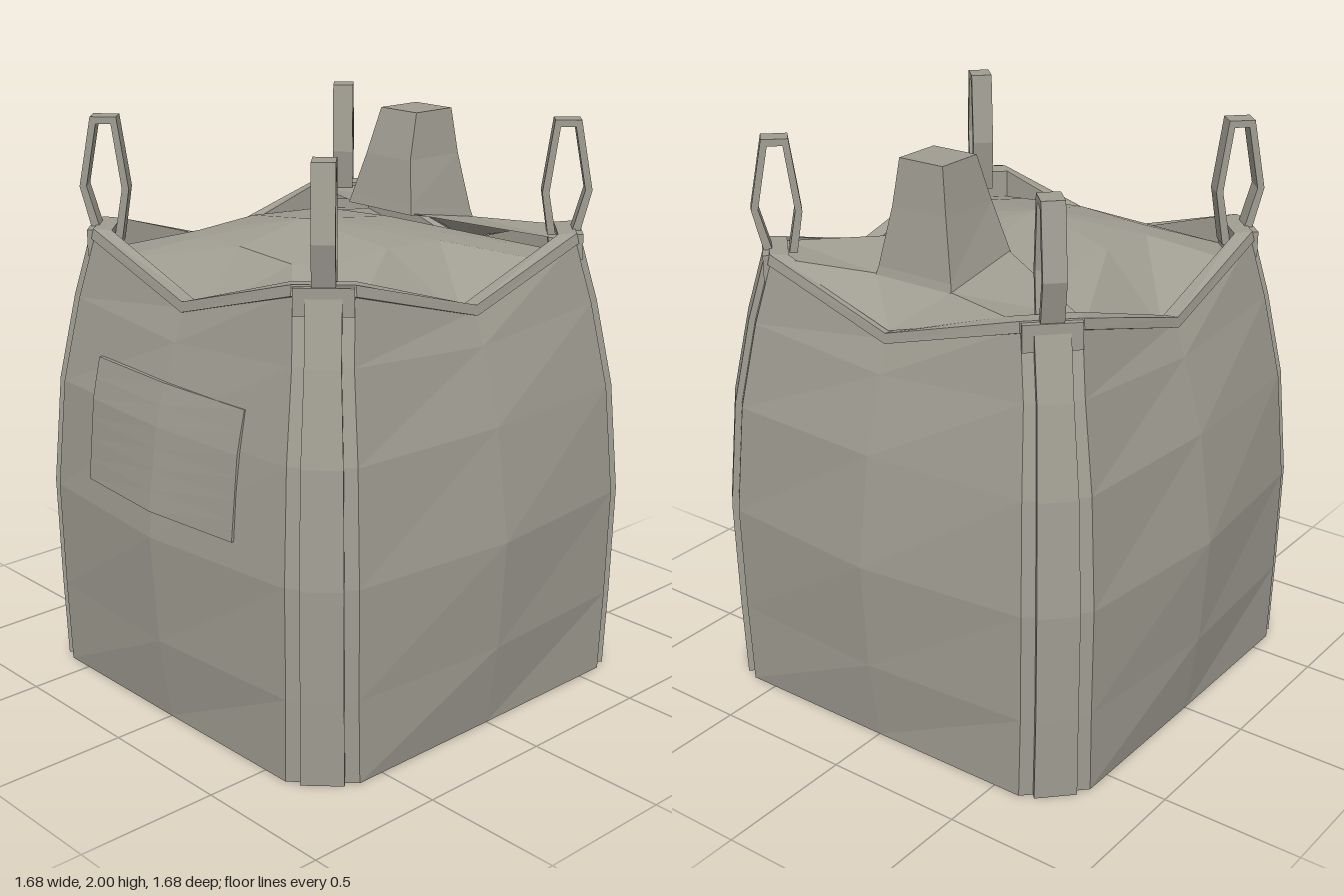
import * as THREE from 'three';

const fabric = new THREE.MeshStandardMaterial({ color: 0xa09d92, side: THREE.DoubleSide });
fabric.name = 'greyFabric';
fabric.flatShading = true;
const underside = new THREE.MeshStandardMaterial({ color: 0x241f1c });
underside.name = 'darkUnderside';

// Body levels: [corner height, mid-side height, mid-side reach, corner reach, corner setback]
const levels = [
  [0, 0, 0.772, 0.77, 0.6],
  [0.3, 0.3, 0.815, 0.775, 0.61],
  [0.69, 0.69, 0.84, 0.78, 0.615],
  [1.08, 1.08, 0.785, 0.75, 0.595],
  [1.38, 1.34, 0.71, 0.695, 0.56],
  [1.6, 1.45, 0.668, 0.65, 0.515],
];

// Eight-cornered ring with an extra point in the middle of each side
function ring([yc, ym, m, w, s], dz = 0) {
  const points = [];
  for (let k = 0; k < 4; k++) {
    const c = Math.round(Math.cos(k * Math.PI / 2)), n = Math.round(Math.sin(k * Math.PI / 2));
    for (const [x, y, z] of [[m, ym, 0], [w, yc, s], [s, yc, w]]) {
      points.push([x * c - z * n, y, x * n + z * c + dz]);
    }
  }
  return points;
}

function fromTriangles(points, index) {
  const g = new THREE.BufferGeometry();
  g.setAttribute('position', new THREE.Float32BufferAttribute(points.flat(), 3));
  g.setIndex(index);
  const flat = g.toNonIndexed();
  flat.computeVertexNormals();
  return flat;
}

// Skin over a list of closed rings
function loft(rings) {
  const n = rings[0].length, index = [];
  for (let r = 0; r < rings.length - 1; r++) {
    for (let j = 0; j < n; j++) {
      const a = r * n + j, b = r * n + (j + 1) % n, c = a + n, d = b + n;
      index.push(a, c, b, b, c, d);
    }
  }
  return fromTriangles(rings.flat(), index);
}

function add(parent, name, geometry, material = fabric) {
  const mesh = new THREE.Mesh(geometry, material);
  mesh.name = name;
  parent.add(mesh);
  return mesh;
}

// Depth of the front wall at a given x and y
function frontDepth(x, y) {
  let i = 0;
  while (i < levels.length - 2 && y > levels[i + 1][1]) i++;
  const t = (y - levels[i][1]) / (levels[i + 1][1] - levels[i][1]);
  const [, , m, w, s] = levels[i].map((v, k) => v + (levels[i + 1][k] - v) * t);
  return m + (w - m) * Math.min(1, Math.abs(x) / s);
}

// Corner webbing, a flat band lying on the bag's chamfered corner
function strapGeometry() {
  return loft(levels.map(([y, , , w, s]) => {
    const at = (t, out) => [w + (s - w) * t + out, y, s + (w - s) * t + out];
    return [at(0.2, 0.016), at(0.8, 0.016), at(0.8, -0.02), at(0.2, -0.02)];
  }));
}

// Six-sided lifting loop, standing in the diagonal plane of the corner
function loopGeometry() {
  const outline = (inset) => [
    [-0.055 + inset, 1.56 + inset], [0.035 - inset, 1.56 + inset], [0.085 - inset, 1.76],
    [0.04 - inset * 0.8, 2 - inset], [-0.05 + inset * 0.8, 2 - inset], [-0.085 + inset, 1.75],
  ].map(([x, y]) => new THREE.Vector2(x, y));
  const shape = new THREE.Shape(outline(0));
  shape.holes.push(new THREE.Path(outline(0.024).reverse()));
  const g = new THREE.ExtrudeGeometry(shape, { depth: 0.075, bevelEnabled: false });
  return g.translate(0, 0, -0.0375);
}

export function createModel() {
  const model = new THREE.Group();
  model.name = 'bulkBag';

  // Bulging bag walls
  add(model, 'bagWalls', loft(levels.map((l) => ring(l))));

  // Flat bottom
  const base = new THREE.Shape(ring(levels[0]).map(([x, , z]) => new THREE.Vector2(x, z)));
  add(model, 'bagBottom', new THREE.ShapeGeometry(base).rotateX(Math.PI / 2), underside);

  // Hemmed rim and the inner face of the wall
  add(model, 'rim', loft([
    [1.585, 1.435, 0.668, 0.652, 0.515],
    [1.59, 1.437, 0.682, 0.662, 0.52],
    [1.625, 1.472, 0.677, 0.655, 0.515],
    [1.62, 1.467, 0.622, 0.61, 0.47],
    [1.5, 1.4, 0.622, 0.61, 0.47],
  ].map((l) => ring(l))));

  // Heaped filling
  const peak = ring([1.67, 1.67, 0, 0, 0], 0.15);
  add(model, 'filling', loft([
    ring([1.52, 1.41, 0.622, 0.61, 0.47]),
    ring([1.6, 1.615, 0.345, 0.34, 0.25], 0.08),
    peak,
  ]));

  // Loose top flap at the back
  const flap = [
    [-0.61, 1.605, -0.47], [-0.155, 1.655, -0.22], [0.155, 1.655, -0.22], [0.61, 1.605, -0.47],
    [0.48, 1.61, -0.63], [0, 1.475, -0.66], [-0.48, 1.61, -0.63],
    [-0.155, 1.6, -0.53], [0.155, 1.6, -0.53],
  ];
  add(model, 'topFlap', fromTriangles(flap, [
    1, 2, 8, 1, 8, 7, 2, 3, 8, 3, 4, 8, 4, 5, 8, 5, 7, 8, 5, 6, 7, 6, 0, 7, 0, 1, 7,
  ]));

  // Square, tapering filling spout
  const square = (h, y0, y1, z0, z1) => [[h, y0, z0], [h, y1, z1], [-h, y1, z1], [-h, y0, z0]];
  add(model, 'spout', loft([
    square(0.158, 1.59, 1.65, -0.535, -0.215),
    square(0.15, 1.625, 1.68, -0.525, -0.222),
    square(0.11, 1.83, 1.83, -0.495, -0.255),
    square(0.088, 1.99, 1.99, -0.48, -0.305),
    square(0, 1.99, 1.99, -0.39, -0.39),
  ]));

  // Document panel following the front wall
  const panel = new THREE.BoxGeometry(0.775, 0.43, 0.014, 2, 6, 1).translate(0, 0.997, 0.004);
  const p = panel.attributes.position;
  for (let i = 0; i < p.count; i++) p.setZ(i, p.getZ(i) + frontDepth(p.getX(i), p.getY(i)));
  panel.computeVertexNormals();
  add(model, 'frontPanel', panel);

  // Webbing, cuff and lifting loop on each corner
  const strap = strapGeometry(), loop = loopGeometry();
  const cuff = new THREE.BoxGeometry(0.045, 0.09, 0.19);
  for (let k = 0; k < 4; k++) {
    const corner = new THREE.Group();
    corner.name = 'corner' + (k + 1);
    corner.rotation.y = k * Math.PI / 2;
    add(corner, 'cornerStrap', strap);
    const diagonal = new THREE.Group();
    diagonal.name = 'liftingPoint';
    diagonal.rotation.y = -Math.PI / 4;
    add(diagonal, 'strapCuff', cuff).position.set(0.828, 1.575, 0);
    add(diagonal, 'liftingLoop', loop).position.x = 0.795;
    corner.add(diagonal);
    model.add(corner);
  }
  return model;
}
